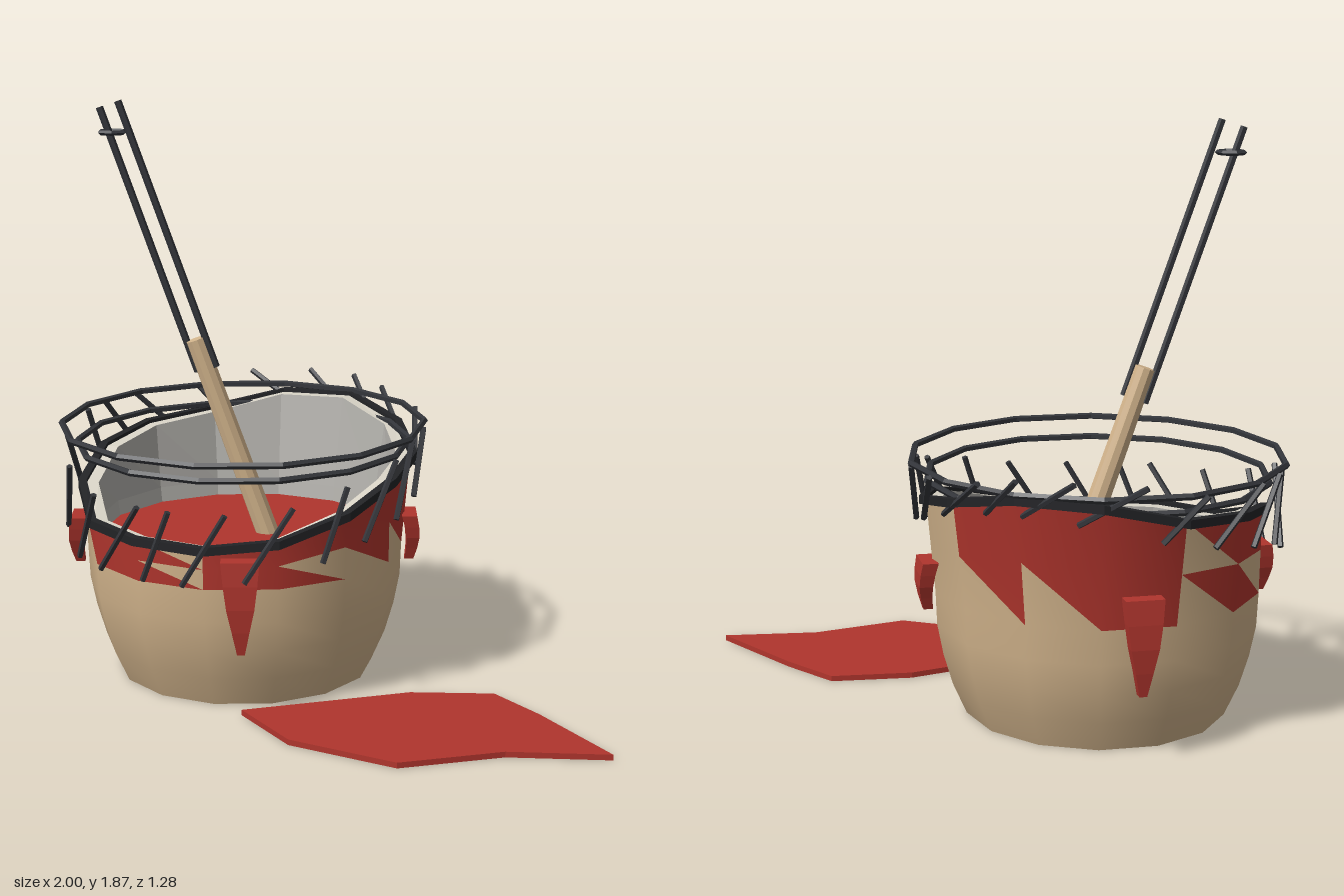
import * as THREE from 'three';

const N = 14, CX = -0.39;
const mat = (color, o = {}) => new THREE.MeshStandardMaterial({ color, flatShading: true, ...o });
const V = (x, y, z) => new THREE.Vector3(x, y, z);
const UP = V(0, 1, 0);
const polar = (a, r, y) => V(r * Math.cos(a), y, r * Math.sin(a));
const ang = k => (k * 2 * Math.PI) / N;

// uneven, broken rim: height at each corner, flaring towards the back
const RIM = [0.68, 0.62, 0.56, 0.54, 0.545, 0.55, 0.62, 0.69, 0.72, 0.74, 0.80, 0.81, 0.76, 0.71];
const rimY = k => RIM[((k % N) + N) % N];
const rimR = k => 0.525 + 0.055 * Math.max(0, -Math.sin(ang(k)));
const rimAt = a => {
  const t = (a / (2 * Math.PI)) * N, k = Math.floor(t);
  return rimY(k) + (rimY(k + 1) - rimY(k)) * (t - k);
};

export function createModel() {
  const model = new THREE.Group();
  const clay = mat(0xd2b48c), claySmooth = mat(0xd2b48c, { flatShading: false });
  const red = mat(0xb0352d), redSmooth = mat(0xb0352d, { flatShading: false });
  const cream = mat(0xd8d3c6), inner = mat(0xb2b0ab), dark = mat(0x33353a);

  const add = (parent, name, geo, m) => {
    const mesh = new THREE.Mesh(geo, m);
    mesh.name = name;
    parent.add(mesh);
    return mesh;
  };
  const rod = (parent, name, a, b, r, m, sides = 6, rTop = r) => {
    const d = b.clone().sub(a);
    const mesh = add(parent, name, new THREE.CylinderGeometry(rTop, r, d.length(), sides), m);
    mesh.position.copy(a).add(b).multiplyScalar(0.5);
    mesh.quaternion.setFromUnitVectors(UP, d.normalize());
    return mesh;
  };

  // closed loops of N corners joined in rows; rows are functions of the corner index.
  // pick(row, segment, half) sorts each triangle into one of several index lists
  const grid = (rows, lists = 1, pick = () => 0) => {
    const pos = [], all = [], idx = Array.from({ length: lists }, () => []);
    rows.forEach(f => { for (let k = 0; k < N; k++) pos.push(...f(k).toArray()); });
    for (let j = 0; j < rows.length - 1; j++) for (let k = 0; k < N; k++) {
      const k1 = (k + 1) % N, b0 = j * N + k, b1 = j * N + k1, t0 = b0 + N, t1 = b1 + N;
      [[b0, t0, t1], [b0, t1, b1]].forEach((tri, half) => {
        all.push(...tri);
        idx[pick(j, k, half)].push(...tri);
      });
    }
    const base = new THREE.BufferGeometry();
    base.setAttribute('position', new THREE.Float32BufferAttribute(pos, 3));
    base.setIndex(all);
    base.computeVertexNormals();
    return idx.map(i => { const g = base.clone(); g.setIndex(i); return g; });
  };

  const pot = new THREE.Group();
  pot.name = 'pot';
  pot.position.x = CX;
  model.add(pot);

  // outer wall, with jagged red glaze below the rim (u / l / b = upper, lower or both halves)
  const profile = [[0.42, 0], [0.465, 0.1], [0.495, 0.2], [0.515, 0.3], [0.52, 0.41]];
  const rim = k => polar(ang(k), rimR(k), rimY(k));
  const mid = k => polar(ang(k), (0.52 + rimR(k)) / 2, (0.41 + rimY(k)) / 2);
  const glazeLow = 'ulblbuulubuunu', glazeHigh = 'bbblbbbbubbbnb';
  const wallRows = [...profile.map(([r, y]) => k => polar(ang(k), r, y)), mid, rim];
  const [wall, glaze] = grid(wallRows, 2, (row, k, half) => {
    if (row < 4) return 0;
    const c = (row === 4 ? glazeLow : glazeHigh)[k];
    return c === 'b' || c === 'ul'[half] ? 1 : 0;
  });
  add(pot, 'outerWall', wall, claySmooth);
  add(pot, 'glaze', glaze, redSmooth);

  // rim face, inner wall and underside
  const rimIn = k => polar(ang(k), rimR(k) - 0.045, rimY(k));
  add(pot, 'rimFace', grid([rim, rimIn])[0], cream);
  add(pot, 'innerWall', grid([rimIn, k => polar(ang(k), 0.485, 0.5), k => polar(ang(k), 0.47, 0.4)])[0], inner);
  add(pot, 'footRing', grid([k => polar(ang(k), 0.385, 0), k => polar(ang(k), 0.42, 0)])[0], inner);
  add(pot, 'base', new THREE.CircleGeometry(0.385, N).rotateX(Math.PI / 2), clay);
  add(pot, 'liquid', new THREE.CircleGeometry(0.48, N).rotateX(-Math.PI / 2).translate(0, 0.45, 0), red);

  // dark edge following the rim
  const ridge = (dr, dy) => k => polar(ang(k), rimR(k) + dr, rimY(k) + dy);
  add(pot, 'rimEdge', grid([ridge(0, -0.015), ridge(0.022, -0.015), ridge(0.022, 0.012), ridge(-0.006, 0.012), ridge(-0.006, -0.015)])[0],
    mat(0x222326, { side: THREE.DoubleSide }));

  // two wire hoops floating over the rim
  [[0.595, 0.825], [0.545, 0.765]].forEach(([r, y]) =>
    add(pot, 'hoop', new THREE.TorusGeometry(r, 0.011, 5, N).rotateX(Math.PI / 2).translate(0, y, 0), dark));

  // splinters leaning around the rim
  for (let i = 0; i < 20; i++) {
    const a = (i / 20) * 2 * Math.PI + 0.06 * Math.sin(i * 5.1);
    const back = Math.max(0, -Math.sin(a));
    const lean = 0.045 + 0.04 * (1 + Math.sin(i * 2.3)) / 2 + 0.02 * back;
    const h = 0.115 - 0.055 * back;
    const c = polar(a, 0.575 + 0.015 * back, rimAt(a) + 0.01);
    const d = V(Math.sin(a), 0, -Math.cos(a)).multiplyScalar(lean).addScaledVector(polar(a, 1, 0), 0.03 * back);
    d.y = h;
    rod(pot, 'splinter', c.clone().sub(d), c.clone().add(d), 0.01, dark, 5);
  }

  // four glaze drips, alternating long and short
  for (let i = 0; i < 4; i++) {
    const a = ang(2.5) + (i * Math.PI) / 2, long = i % 2 === 0;
    const len = long ? 0.3 : 0.16;
    const g = new THREE.BoxGeometry(0.12, len, 0.05, 1, 4, 1);
    const p = g.attributes.position;
    for (let j = 0; j < p.count; j++) {
      const t = 0.5 - p.getY(j) / len;
      const s = [1, 0.88, 0.72, 0.45, 0.2][Math.round(t * 4)];
      p.setX(j, p.getX(j) * s);
      p.setZ(j, p.getZ(j) * (0.5 + 0.5 * s) + 0.012 * Math.sin(t * Math.PI));
    }
    g.computeVertexNormals();
    const drip = add(pot, 'drip', g, red);
    drip.position.copy(polar(a, 0.545, 0.515 - len / 2));
    drip.rotation.y = Math.PI / 2 - a;
  }

  // leaning tool: wooden grip with two long prongs and a small binding ring
  const tool = new THREE.Group();
  tool.name = 'tool';
  model.add(tool);
  const axis = y => V(-0.53 - 0.32 * (y - 1.1), y, 0.06 + 0.14 * (y - 1.1));
  rod(tool, 'grip', axis(0.44), axis(1.1), 0.038, clay, 10, 0.033);
  [-1, 1].forEach(s => {
    const off = V(0.034 * s, 0.011 * s, 0);
    rod(tool, 'prong', axis(1.0).add(off), axis(1.86).add(off), 0.012, dark, 6);
  });
  add(tool, 'bindingRing', new THREE.TorusGeometry(0.042, 0.008, 4, 6).rotateX(Math.PI / 2), dark)
    .position.set(-0.77, 1.77, 0.155);

  // spilled red puddle on the ground
  const outline = [[-0.17, 0.46], [0.07, 0.62], [0.44, 0.65], [0.7, 0.44], [1, 0.33], [0.69, 0.11], [0.5, 0], [0.25, 0.1]];
  const shape = new THREE.Shape(outline.map(([x, z]) => new THREE.Vector2(x, -z)));
  add(model, 'puddle', new THREE.ExtrudeGeometry(shape, { depth: 0.018, bevelEnabled: false }).rotateX(-Math.PI / 2), red);

  return model;
}
